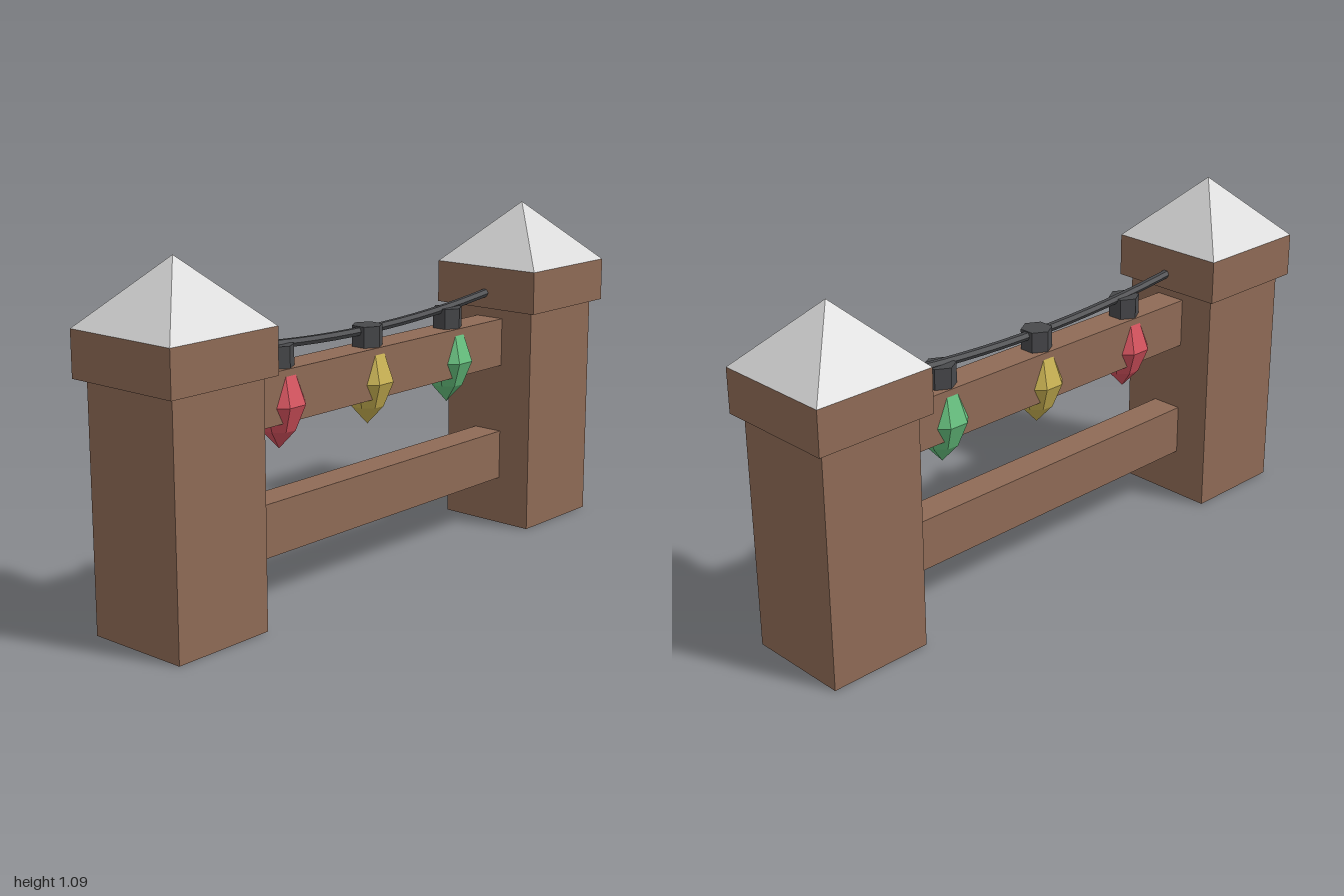
import * as THREE from 'three';

const flat = (name, color) => {
  const m = new THREE.MeshStandardMaterial({ color, flatShading: true });
  m.name = name;
  return m;
};

export function createModel() {
  const group = new THREE.Group();
  const brown = flat('brown wood', 0x8f6b56);
  const stone = flat('pale stone', 0xdadada);
  const dark = flat('dark cable', 0x48494c);
  const bulbColors = [
    flat('red glass', 0xd6525e),
    flat('yellow glass', 0xc9b252),
    flat('green glass', 0x66c07e),
  ];

  const add = (name, geometry, material, x, y, z = 0) => {
    const mesh = new THREE.Mesh(geometry, material);
    mesh.name = name;
    mesh.position.set(x, y, z);
    group.add(mesh);
    return mesh;
  };

  // Two pillars, each with a wide collar and a pyramid roof
  for (const side of [-1, 1]) {
    const label = side > 0 ? 'left' : 'right';
    add(label + 'Pillar', new THREE.BoxGeometry(0.343, 0.75, 0.343), brown, side * 0.8, 0.375);
    add(label + 'Collar', new THREE.BoxGeometry(0.4, 0.14, 0.4), brown, side * 0.8, 0.82);
    const roof = new THREE.ConeGeometry(0.2 * Math.SQRT2, 0.2, 4).rotateY(Math.PI / 4);
    add(label + 'Roof', roof, stone, side * 0.8, 0.99);
  }

  // Horizontal rails
  add('lowerRail', new THREE.BoxGeometry(1.28, 0.165, 0.104), brown, 0, 0.243);
  add('upperRail', new THREE.BoxGeometry(1.28, 0.16, 0.104), brown, 0, 0.635);

  // Sagging cable between the collars
  const points = [];
  for (let i = -4; i <= 4; i++) {
    const x = i * 0.155;
    points.push(new THREE.Vector3(x, 0.765 + 0.1 * x * x, 0));
  }
  const cable = new THREE.TubeGeometry(new THREE.CatmullRomCurve3(points), 16, 0.014, 6);
  add('cable', cable, dark, 0, 0);

  // Hanging bulbs with hexagonal sockets
  const profile = [[0, 0.465], [0.054, 0.525], [0.0866, 0.605], [0.054, 0.7], [0.04, 0.714], [0, 0.714]]
    .map(([r, y]) => new THREE.Vector2(r, y));
  const bulb = new THREE.LatheGeometry(profile, 8, Math.PI / 8);
  const socket = new THREE.CylinderGeometry(0.05, 0.05, 0.07, 6);
  bulbColors.forEach((material, i) => {
    const x = (i - 1) * 0.398;
    add('socket' + (i + 1), socket, dark, x, 0.746);
    add('bulb' + (i + 1), bulb, material, x, 0);
  });

  return group;
}
